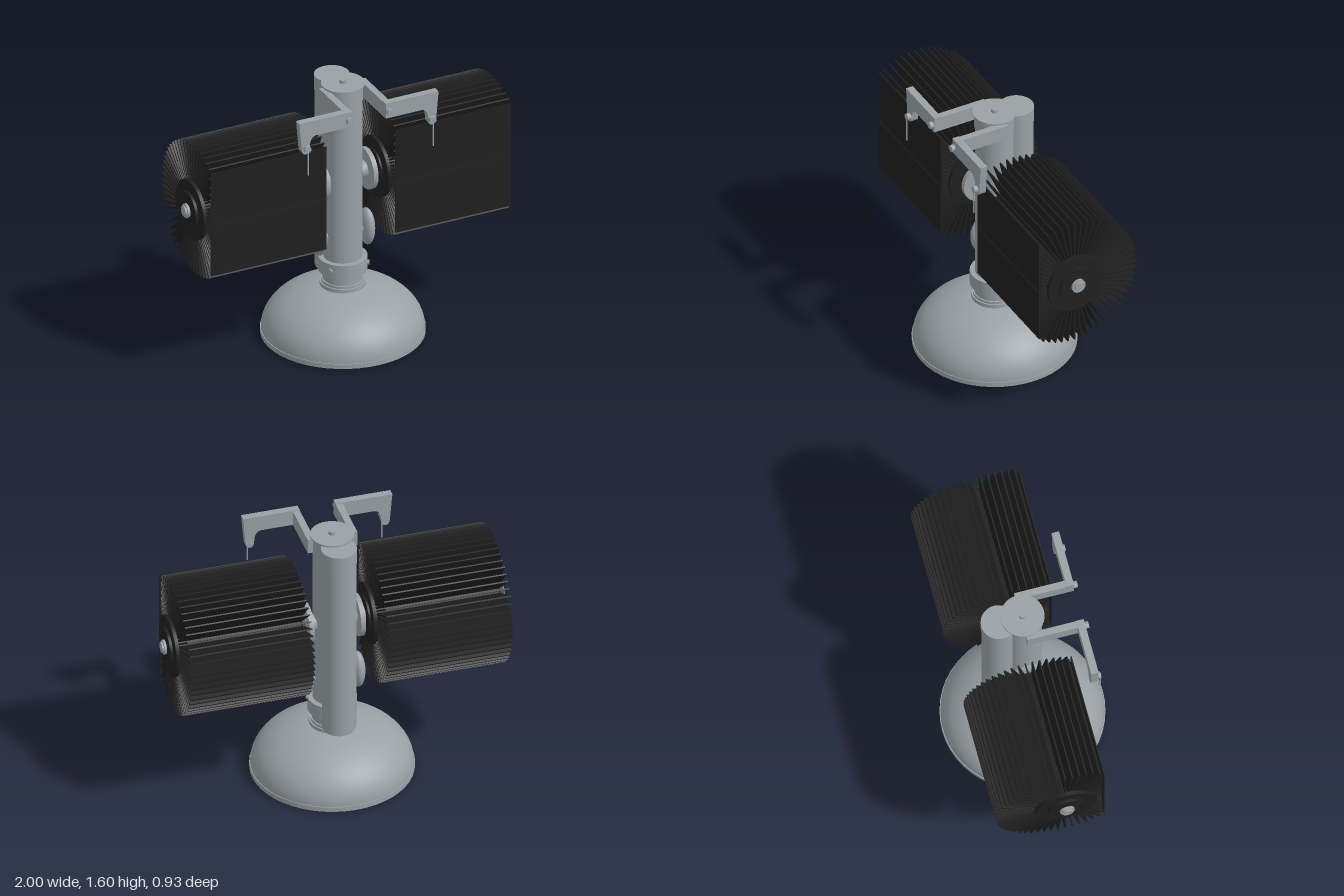
import * as THREE from 'three';
import { mergeGeometries } from 'three/addons/utils/BufferGeometryUtils.js';

const metal = new THREE.MeshStandardMaterial({ color: 0x9aa1a5 });
metal.name = 'grey metal';
const black = new THREE.MeshStandardMaterial({ color: 0x1f1f1f });
black.name = 'black plastic';

function add(parent, name, geometry, material, x = 0, y = 0, z = 0) {
  const mesh = new THREE.Mesh(geometry, material);
  mesh.name = name;
  mesh.position.set(x, y, z);
  parent.add(mesh);
  return mesh;
}

// Upright cylinder between two heights
function post(parent, name, r, y0, y1, material = metal, z = 0, x = 0) {
  return add(parent, name, new THREE.CylinderGeometry(r, r, y1 - y0, 48), material, x, (y0 + y1) / 2, z);
}

// Cylinder lying along x, on the drum axis
function disc(parent, name, r, x0, x1, material) {
  const g = new THREE.CylinderGeometry(r, r, x1 - x0, 48).rotateZ(Math.PI / 2);
  return add(parent, name, g, material, (x0 + x1) / 2, AXIS_Y, 0);
}

const AXIS_Y = 1.0, FLAP_R = 0.4, FLAP_IN = 0.15, FLAP_X0 = 0.216, FLAP_X1 = 0.94;
const FLAP_W = FLAP_X1 - FLAP_X0, FLAP_MID = (FLAP_X0 + FLAP_X1) / 2;

// Radial flaps; those facing forward stop behind the display panels
function flapFan() {
  const parts = [];
  const count = 60;
  for (let i = 0; i < count; i++) {
    const a = (i / count) * Math.PI * 2;
    const c = Math.cos(a);
    const tip = c > 0 ? Math.min(FLAP_R, 0.212 / c) : FLAP_R;
    const g = new THREE.BoxGeometry(FLAP_W, 0.008, tip - FLAP_IN);
    g.translate(0, 0, (tip + FLAP_IN) / 2).rotateX(-a);
    parts.push(g);
  }
  return mergeGeometries(parts);
}

function drum(side) {
  const g = new THREE.Group();
  g.name = side > 0 ? 'leftFlapDrum' : 'rightFlapDrum';
  add(g, 'flaps', flapFan(), black, side * FLAP_MID, AXIS_Y, 0);
  for (const [name, y0, y1] of [['upperPanel', 1.003, 1.33], ['lowerPanel', 0.68, 0.997]]) {
    add(g, name, new THREE.BoxGeometry(FLAP_W, y1 - y0, 0.006), black, side * FLAP_MID, (y0 + y1) / 2, 0.225);
  }
  // Hub plates, axle and washers from the column outward
  const rings = [
    ['axle', 0.03, 0.09, 1.0, metal],
    ['axleSleeve', 0.05, 0.1, 0.19, metal],
    ['washer', 0.122, 0.135, 0.163, metal],
    ['innerHubRim', 0.11, 0.184, 0.2, black],
    ['innerHub', 0.178, 0.196, 0.218, black],
    ['drumCore', 0.155, 0.217, 0.939, black],
    ['outerHub', 0.178, 0.938, 0.96, black],
    ['outerHubRim', 0.11, 0.958, 0.976, black],
    ['axleNut', 0.042, 0.974, 0.99, metal],
  ];
  for (const [name, r, a, b, m] of rings) {
    disc(g, name, r, side > 0 ? a : -b, side > 0 ? b : -a, m);
  }
  return g;
}

// Bracket reaching forward, then outward to a hooked end
function bracket(side) {
  const g = new THREE.Group();
  g.name = side > 0 ? 'leftBracket' : 'rightBracket';
  add(g, 'arm', new THREE.BoxGeometry(0.04, 0.09, 0.3), metal, side * 0.125, 1.525, 0.14);

  const s = new THREE.Shape();
  s.moveTo(0.105, 1.48);
  s.lineTo(0.33, 1.48);
  s.quadraticCurveTo(0.365, 1.475, 0.37, 1.43);
  s.lineTo(0.373, 1.395);
  s.quadraticCurveTo(0.38, 1.373, 0.397, 1.373);
  s.quadraticCurveTo(0.417, 1.375, 0.421, 1.4);
  s.lineTo(0.436, 1.575);
  s.lineTo(0.105, 1.575);
  s.closePath();
  const pts = s.getPoints(8).map(p => new THREE.Vector2(p.x * side, p.y));
  const plate = new THREE.ExtrudeGeometry(new THREE.Shape(pts), { depth: 0.043, bevelEnabled: false });
  add(g, 'hookPlate', plate, metal, 0, 0, 0.284);

  for (const [x, y] of [[0.125, 1.523], [0.392, 1.41]]) {
    const screw = new THREE.CylinderGeometry(0.02, 0.02, 0.024, 20).rotateX(Math.PI / 2);
    add(g, 'screw', screw, metal, side * x, y, 0.338);
  }
  post(g, 'stopWire', 0.004, 1.25, 1.43, metal, 0.347, side * 0.392);
  return g;
}

function base() {
  const g = new THREE.Group();
  g.name = 'base';
  post(g, 'footPad', 0.432, 0, 0.008, black);
  post(g, 'lip', 0.465, 0.006, 0.035);
  const profile = [];
  for (let i = 0; i <= 24; i++) {
    const a = (i / 24) * Math.PI / 2;
    profile.push(new THREE.Vector2(0.46 * Math.cos(a), 0.035 + 0.285 * Math.sin(a)));
  }
  profile[24].x = 0;
  add(g, 'dome', new THREE.LatheGeometry(profile, 64), metal);
  post(g, 'neckRing', 0.131, 0.305, 0.33);
  post(g, 'neckStep', 0.122, 0.33, 0.345);
  post(g, 'neck', 0.114, 0.34, 0.41);
  return g;
}

function columns() {
  const g = new THREE.Group();
  g.name = 'columns';
  post(g, 'frontColumn', 0.11, 0.4, 1.57);
  post(g, 'rearColumn', 0.097, 0.37, 1.5, metal, -0.138);
  post(g, 'rearColumnFoot', 0.092, 0.355, 0.37, metal, -0.138);
  post(g, 'rearColumnCap', 0.101, 1.48, 1.57, metal, -0.138);
  post(g, 'frontColumnHead', 0.114, 1.48, 1.57);
  post(g, 'topCap', 0.124, 1.57, 1.58);
  post(g, 'topKnob', 0.02, 1.58, 1.6);

  // Clamp collar with a flat back
  const open = Math.acos(0.107 / 0.139);
  const ring = new THREE.Shape();
  ring.absarc(0, 0, 0.139, -Math.PI / 2 - open + Math.PI * 2, -Math.PI / 2 + open, true);
  ring.closePath();
  // The arc is rebuilt counter-clockwise through the front half
  const collarShape = new THREE.Shape();
  collarShape.absarc(0, 0, 0.139, Math.PI / 2 + open, Math.PI * 2.5 - open, false);
  collarShape.closePath();
  const collar = new THREE.ExtrudeGeometry(collarShape, { depth: 0.085, bevelEnabled: false, curveSegments: 48 });
  collar.rotateX(-Math.PI / 2);
  add(g, 'collar', collar, metal, 0, 0.4, 0);

  for (const side of [-1, 1]) {
    const screw = add(g, 'collarScrew', new THREE.CylinderGeometry(0.015, 0.015, 0.02, 16).rotateX(Math.PI / 2),
      metal, side * 0.118, 0.445, 0.075);
    screw.rotation.y = side * Math.atan2(0.118, 0.075);
    // Oval side knob
    const knob = new THREE.SphereGeometry(1, 32, 20).scale(0.04, 0.113, 0.07);
    add(g, 'sideKnob', knob, metal, side * 0.15, 0.632, 0);
    add(g, 'knobStem', new THREE.CylinderGeometry(0.03, 0.03, 0.06, 20).rotateZ(Math.PI / 2), metal, side * 0.12, 0.632, 0);
  }
  return g;
}

export function createModel() {
  const model = new THREE.Group();
  model.name = 'flapDisplayStand';
  model.add(base(), columns());
  for (const side of [-1, 1]) model.add(drum(side), bracket(side));
  return model;
}
